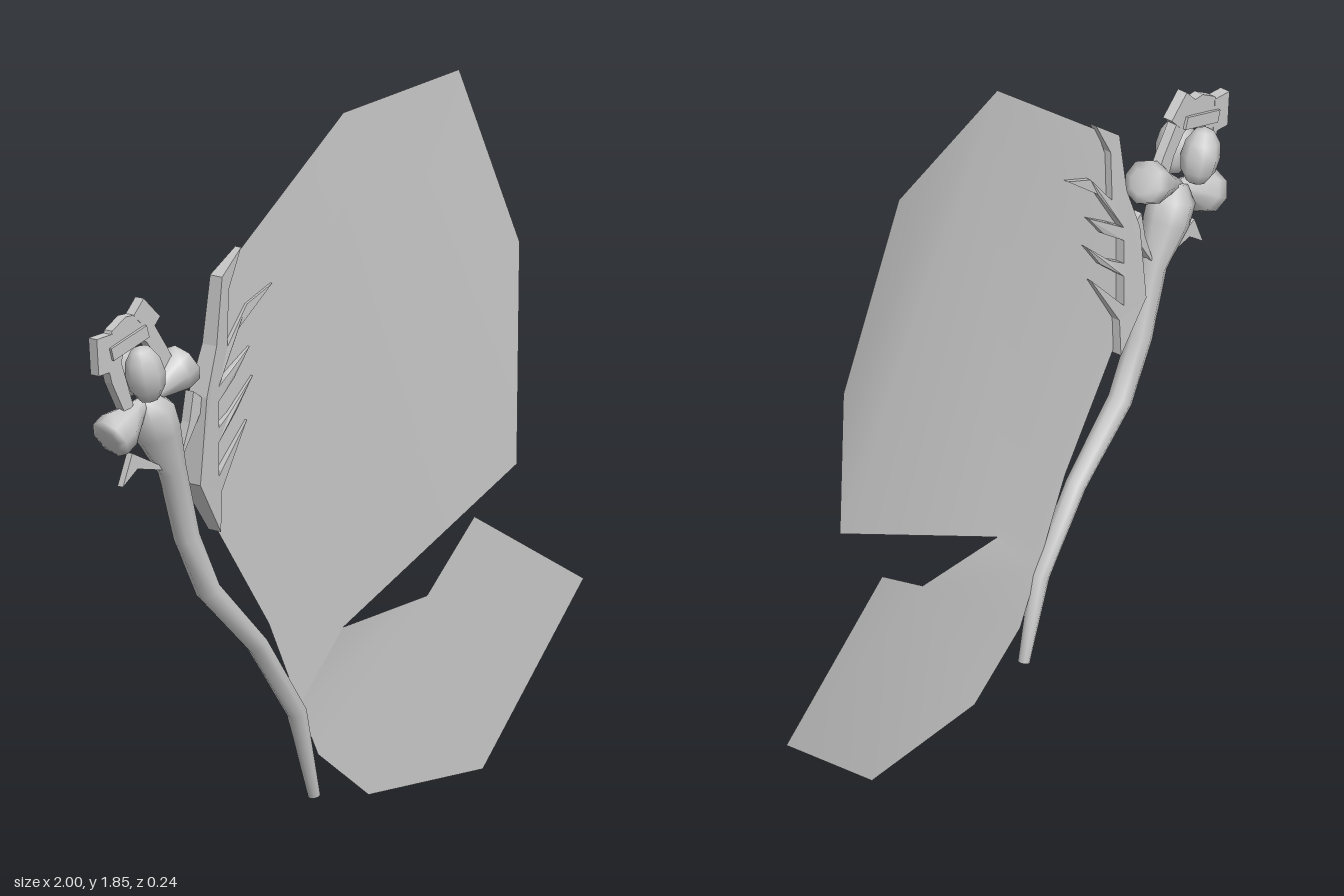
import * as THREE from 'three';

const grey = new THREE.MeshStandardMaterial({ color: 0xc8c8c8, side: THREE.DoubleSide });
grey.name = 'plain grey';
const MID = 0.027; // depth of the plane of symmetry

export function createModel() {
  const model = new THREE.Group();
  const add = (name, geometry, parent = model) => {
    const mesh = new THREE.Mesh(geometry, grey);
    mesh.name = name;
    parent.add(mesh);
    return mesh;
  };

  // A sheet of triangles fanned from the first point
  const fan = (pts) => {
    const g = new THREE.BufferGeometry();
    g.setAttribute('position', new THREE.Float32BufferAttribute(pts.flat(), 3));
    const index = [];
    for (let i = 1; i < pts.length - 1; i++) index.push(0, i, i + 1);
    g.setIndex(index);
    g.computeVertexNormals();
    return g;
  };

  // A round limb lofted through [x, y, radius] rings
  const limb = (rings, sides = 8) => {
    const pos = [], index = [];
    rings.forEach(([x, y, r], i) => {
      const a = rings[Math.max(i - 1, 0)], b = rings[Math.min(i + 1, rings.length - 1)];
      const len = Math.hypot(b[0] - a[0], b[1] - a[1]);
      const nx = (b[1] - a[1]) / len, ny = -(b[0] - a[0]) / len;
      for (let j = 0; j < sides; j++) {
        const t = j / sides * Math.PI * 2, c = Math.cos(t) * r;
        pos.push(x + nx * c, y + ny * c, MID + Math.sin(t) * r);
        if (i) {
          const k = (j + 1) % sides, p = (i - 1) * sides, q = i * sides;
          index.push(p + j, q + k, p + k, p + j, q + j, q + k);
        }
      }
    });
    // End caps
    for (const [row, last] of [[0, false], [rings.length - 1, true]]) {
      const c = pos.length / 3;
      pos.push(rings[row][0], rings[row][1], MID);
      for (let j = 0; j < sides; j++) {
        const p = row * sides + j, q = row * sides + (j + 1) % sides;
        index.push(c, last ? q : p, last ? p : q);
      }
    }
    const g = new THREE.BufferGeometry();
    g.setAttribute('position', new THREE.Float32BufferAttribute(pos, 3));
    g.setIndex(index);
    g.computeVertexNormals();
    return g;
  };

  // A flat plate cut from an outline, centred in depth
  const plate = (pts, depth) => {
    const shape = new THREE.Shape(pts.map(([x, y]) => new THREE.Vector2(x, y)));
    return new THREE.ExtrudeGeometry(shape, { depth, bevelEnabled: false })
      .translate(0, 0, MID - depth / 2);
  };

  // Wings: two thin sheets, flat near the body, their outer parts bent backwards
  const wings = new THREE.Group();
  wings.name = 'wings';
  model.add(wings);
  add('upperWing', fan([
    [-0.06, 1.85, 0.03], [-0.47, 1.53, 0.03], [-0.56, 1.3, 0.03], [-0.6, 1.0, 0.03],
    [-0.54, 0.82, 0.03], [-0.34, 0.53, 0.03], [-0.225, 0.29, 0.03], [-0.06, 0.475, 0.03],
    [0.595, 0.805, 0.027], [0.737, 1.355, -0.1], [0.52, 1.85, -0.11],
  ]), wings);
  add('lowerWing', fan([
    [0.28, 0.5, 0.005], [-0.06, 0.475, 0.03], [-0.225, 0.29, 0.03], [-0.155, 0.15, 0.03],
    [0.04, 0.01, 0.025], [0.49, 0.003, 0.005], [1, 0.41, -0.122], [0.515, 0.665, -0.05],
  ]), wings);

  // Jagged wing root, thick at the body and thinning towards the spikes
  const root = plate([
    [-0.452, 1.555], [-0.535, 1.49], [-0.56, 1.31], [-0.605, 1.18], [-0.63, 0.95],
    [-0.54, 0.81], [-0.535, 0.92], [-0.43, 1.09], [-0.55, 0.96], [-0.55, 1.05],
    [-0.47, 1.12], [-0.408, 1.205], [-0.5, 1.12], [-0.55, 1.09], [-0.55, 1.16],
    [-0.48, 1.21], [-0.42, 1.285], [-0.5, 1.235], [-0.55, 1.2], [-0.46, 1.34],
    [-0.335, 1.44], [-0.43, 1.4], [-0.51, 1.3], [-0.505, 1.45],
  ], 0.07);
  const p = root.attributes.position;
  for (let i = 0; i < p.count; i++) {
    const taper = Math.min(1, Math.max(0.3, (-0.41 - p.getX(i)) / 0.2));
    p.setZ(i, MID + (p.getZ(i) - MID) * taper);
  }
  root.computeVertexNormals();
  add('wingRoot', root);
  add('wingJoint', plate([[-0.69, 1.01], [-0.62, 1.12], [-0.59, 1.17], [-0.635, 1.2], [-0.65, 1.12]], 0.03));

  // Long bent body widening into the neck
  add('body', limb([
    [-0.166, 0.04, 0.016], [-0.232, 0.275, 0.027], [-0.38, 0.48, 0.029], [-0.565, 0.655, 0.034],
    [-0.645, 0.81, 0.035], [-0.7, 1.0, 0.038], [-0.755, 1.11, 0.063], [-0.78, 1.17, 0.064],
    [-0.8, 1.21, 0.03],
  ]));

  // Two flaring, blunt lobes either side of the neck
  for (const [x, y] of [[-0.932, 1.118], [-0.66, 1.277]]) {
    const at = (t, r) => [-0.8 + (x + 0.8) * t, 1.2 + (y - 1.2) * t, r];
    add('neckLobe', limb([at(0, 0.018), at(0.3, 0.03), at(0.75, 0.06), at(1, 0.06), at(1.06, 0.035)]));
  }

  // Thin foreleg below the neck
  add('foreleg', plate([[-0.86, 1.07], [-0.895, 0.985], [-0.84, 1.025], [-0.71, 1.0]], 0.02));

  // Head: paired bulbs inside an arched band
  const head = new THREE.Group();
  head.name = 'head';
  model.add(head);
  for (const side of [-1, 1]) {
    const bulb = add('headBulb', new THREE.SphereGeometry(1, 8, 6), head);
    bulb.scale.set(0.055, 0.082, 0.052);
    bulb.position.set(-0.845, 1.285, MID + side * 0.042);
    bulb.rotation.z = 0.25;
  }
  add('headBand', plate([
    [-0.89, 1.18], [-0.94, 1.27], [-0.965, 1.35], [-0.94, 1.41], [-0.89, 1.44], [-0.84, 1.44],
    [-0.78, 1.4], [-0.73, 1.33], [-0.68, 1.25], [-0.73, 1.22], [-0.77, 1.31], [-0.81, 1.36],
    [-0.85, 1.38], [-0.89, 1.37], [-0.905, 1.32], [-0.86, 1.2],
  ], 0.028), head);

  // Square plates on the band: x, y, width, height, depth, turn
  for (const [x, y, w, h, d, turn] of [
    [-0.81, 1.43, 0.085, 0.055, 0.03, -0.75],
    [-0.965, 1.35, 0.06, 0.1, 0.03, 0.08],
    [-0.88, 1.37, 0.14, 0.035, 0.045, 0.3],
  ]) {
    const m = add('headPlate', new THREE.BoxGeometry(w, h, d), head);
    m.position.set(x, y, MID);
    m.rotation.z = turn;
  }
  return model;
}
